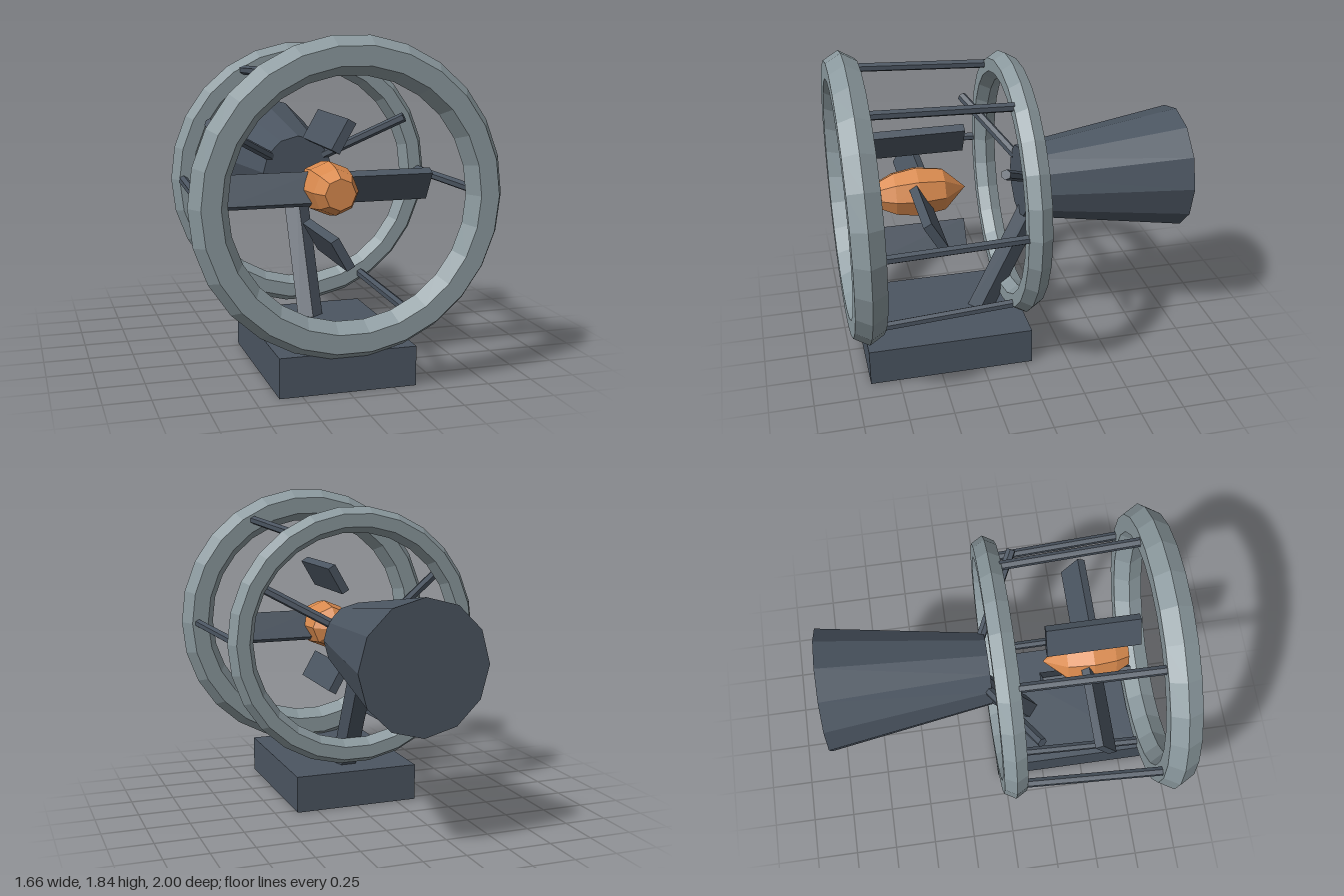
import * as THREE from 'three';

const AXIS_Y = 1.013; // height of the shared centre line

export function createModel() {
  const group = new THREE.Group();
  const material = (name, color) => {
    const m = new THREE.MeshStandardMaterial({ color, flatShading: true });
    m.name = name;
    return m;
  };
  const paleSteel = material('pale steel', 0x8b999e);
  const darkSteel = material('dark steel', 0x4b5561);
  const copper = material('copper', 0xd98a4e);

  const add = (name, geometry, mat, x = 0, y = 0, z = 0) => {
    const mesh = new THREE.Mesh(geometry, mat);
    mesh.name = name;
    mesh.position.set(x, y, z);
    group.add(mesh);
    return mesh;
  };

  // Straight bar between two points
  const bar = (name, from, to, radius, sides) => {
    const a = new THREE.Vector3(...from);
    const b = new THREE.Vector3(...to);
    const dir = b.clone().sub(a);
    const mesh = add(name, new THREE.CylinderGeometry(radius, radius, dir.length(), sides), darkSteel);
    mesh.position.copy(a).add(b).multiplyScalar(0.5);
    mesh.quaternion.setFromUnitVectors(new THREE.Vector3(0, 1, 0), dir.normalize());
    return mesh;
  };

  // Plinth and leaning post
  add('base', new THREE.BoxGeometry(0.745, 0.215, 0.955), darkSteel, 0, 0.1075, 0.4375);
  bar('post', [0, 0.1, 0.235], [0, 0.88, -0.145], 0.077, 5);

  // Cage rings with hexagonal section
  add('frontRing', new THREE.TorusGeometry(0.73, 0.1, 6, 26), paleSteel, 0, AXIS_Y, 0.915);
  add('backRing', new THREE.TorusGeometry(0.685, 0.075, 6, 26), paleSteel, 0, AXIS_Y, 0.01);

  // Six rails joining the rings
  for (let i = 0; i < 6; i++) {
    const a = (i * Math.PI) / 3;
    const at = (r, z) => [r * Math.cos(a), AXIS_Y + r * Math.sin(a), z];
    bar('rail', at(0.742, 0.915), at(0.698, 0.01), 0.026, 6);
  }

  // Tapered rear housing, widening backwards
  const housing = add('housing', new THREE.CylinderGeometry(0.21, 0.36, 0.95, 12), darkSteel, 0, AXIS_Y, -0.525);
  housing.rotation.x = Math.PI / 2;

  // Handles spreading up and forward from the housing
  for (const s of [-1, 1]) {
    bar('handle', [s * 0.16, 1.105, -0.07], [s * 0.575, 1.34, 0.165], 0.028, 6);
  }

  // Faceted core, blunt in front and pointed behind
  const profile = [[0, 0.27], [0.125, 0.4], [0.147, 0.55], [0.125, 0.68], [0.085, 0.76], [0, 0.76]];
  const coreGeometry = new THREE.LatheGeometry(profile.map(([r, z]) => new THREE.Vector2(r, z)), 8);
  const core = add('core', coreGeometry, copper, 0, AXIS_Y, 0);
  core.rotation.x = Math.PI / 2;

  // Four twisted blades: two lying across, two lying along the axis
  for (const s of [-1, 1]) {
    const side = add('sideBlade', new THREE.BoxGeometry(0.53, 0.18, 0.05), darkSteel, s * 0.31, AXIS_Y, 0.54);
    side.rotation.x = s * 0.52;
    const long = add('longBlade', new THREE.BoxGeometry(0.05, 0.18, 0.53), darkSteel, 0, AXIS_Y + s * 0.308, 0.54);
    long.rotation.z = -s * 0.52;
  }

  return group;
}
